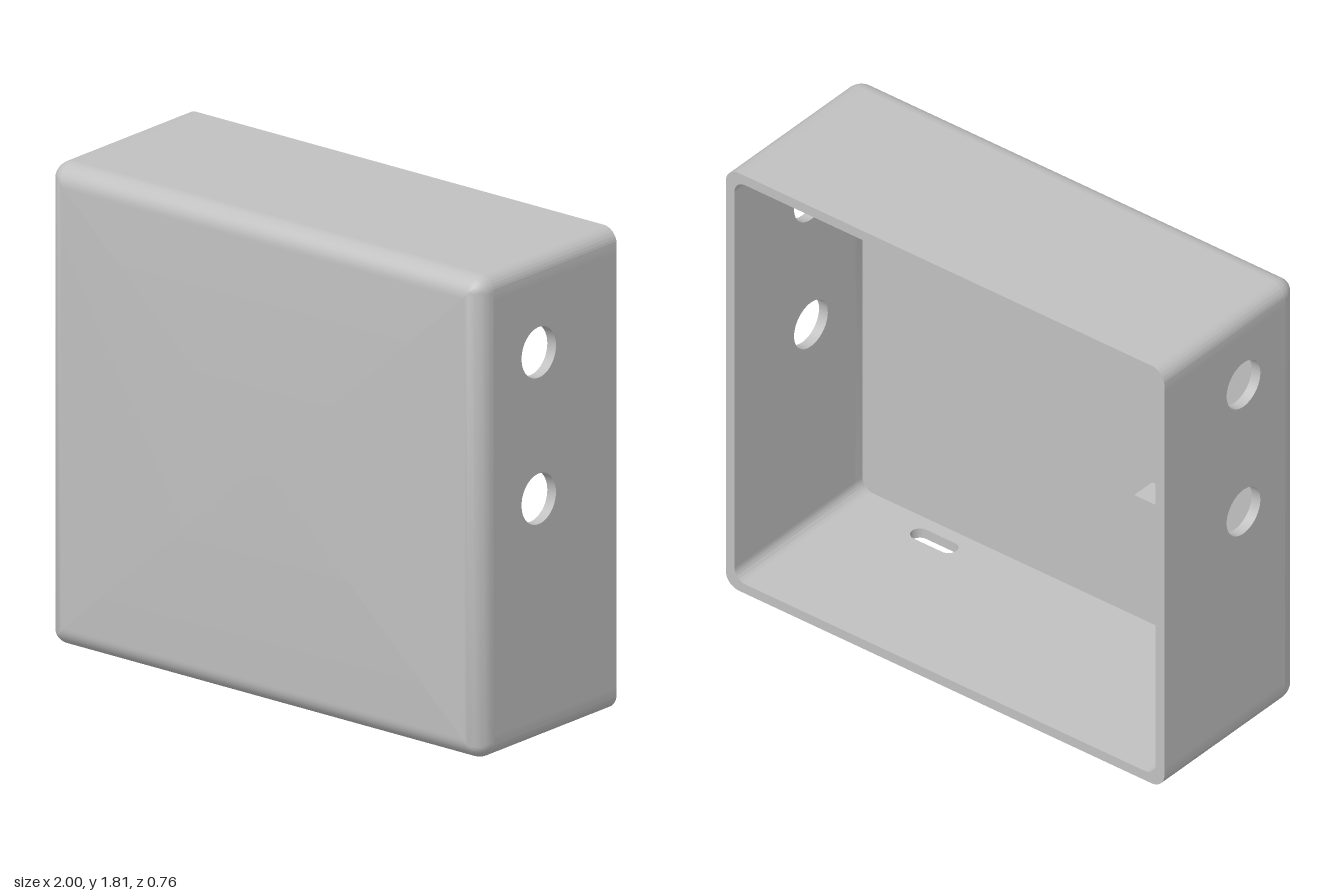
import * as THREE from 'three';
import { toCreasedNormals } from 'three/addons/utils/BufferGeometryUtils.js';

const H = 1.81, T = 0.04;            // height, wall thickness
const BACK = -0.38, SEAM = 0.30, FRONT = 0.38, INNER = 0.34;
const R = 0.06, RI = 0.05, C = T + RI; // outer and inner corner radii, corner strip size
const FILLET = 0.08;

const plastic = new THREE.MeshStandardMaterial({ color: 0xc0c0c0 });
plastic.name = 'grey plastic';

function add(group, name, geometry) {
  const mesh = new THREE.Mesh(geometry, plastic);
  mesh.name = name;
  group.add(mesh);
  return mesh;
}

function rectangle(x0, y0, x1, y1) {
  return new THREE.Shape([[x0, y0], [x1, y0], [x1, y1], [x0, y1]].map(p => new THREE.Vector2(...p)));
}

function extrude(shape, depth) {
  const g = new THREE.ExtrudeGeometry(shape, { depth, bevelEnabled: false, curveSegments: 24 });
  return toCreasedNormals(g, 0.6);
}

// Rounded rectangle outline, counterclockwise around the middle of the front
function outline(inset, radius, z) {
  const pts = [], n = 8;
  [[1, 1], [-1, 1], [-1, -1], [1, -1]].forEach(([sx, sy], k) => {
    for (let i = 0; i <= n; i++) {
      const a = (k + i / n) * Math.PI / 2;
      pts.push([
        sx * (1 - inset - radius) + radius * Math.cos(a),
        H / 2 + sy * (H / 2 - inset - radius) + radius * Math.sin(a), z]);
    }
  });
  return pts;
}

// Front panel: flat inside, filleted outside
function frontPanel() {
  const centre = z => outline(0, 0, z).map(() => [0, H / 2, z]);
  const rows = [centre(INNER), outline(T, RI, INNER), outline(T, RI, SEAM)];
  for (let i = 0; i <= 10; i++) {
    const a = i / 10 * Math.PI / 2, inset = FILLET * (1 - Math.cos(a));
    rows.push(outline(inset, Math.max(R - inset, 0.004), SEAM + FILLET * Math.sin(a)));
  }
  rows.push(centre(FRONT));
  const pos = [], n = rows[0].length, last = rows.length - 2;
  for (let i = 0; i <= last; i++) {
    for (let j = 0; j < n; j++) {
      const k = (j + 1) % n;
      const a = rows[i][j], b = rows[i][k], c = rows[i + 1][j], d = rows[i + 1][k];
      if (i > 0) pos.push(...a, ...b, ...(i === last ? c : d));
      if (i < last) pos.push(...a, ...d, ...c);
    }
  }
  const g = new THREE.BufferGeometry();
  g.setAttribute('position', new THREE.Float32BufferAttribute(pos, 3));
  g.computeVertexNormals();
  return toCreasedNormals(g, 0.6);
}

// Corner strip section, drawn for the upper corner on the +x side
function cornerStrip() {
  const s = new THREE.Shape();
  s.moveTo(0, -C);
  s.lineTo(0, -R);
  s.absarc(-R, -R, R, 0, Math.PI / 2, false);
  s.lineTo(-C, 0);
  s.lineTo(-C, -T);
  s.absarc(-C, -C, RI, Math.PI / 2, 0, true);
  return extrude(s, SEAM - BACK);
}

export function createModel() {
  const model = new THREE.Group();
  model.name = 'openBackBox';

  add(model, 'frontPanel', frontPanel());

  // Side walls, each with two round holes
  for (const side of [1, -1]) {
    const wall = rectangle(BACK, C, SEAM, H - C);
    const [z, ys] = side > 0 ? [0.05, [0.91, 1.46]] : [0.065, [0.96, 1.51]];
    for (const y of ys) wall.holes.push(new THREE.Path().absarc(z, y, 0.095, 0, Math.PI * 2, true));
    const g = extrude(wall, T).rotateY(-Math.PI / 2);
    g.translate(side > 0 ? 1 : -1 + T, 0, 0);
    add(model, side > 0 ? 'leftWall' : 'rightWall', g);
  }

  // Top wall, and bottom wall with a rounded slot
  const span = 1 - C;
  add(model, 'topWall', extrude(rectangle(-span, BACK, span, SEAM), T).rotateX(Math.PI / 2).translate(0, H, 0));
  const floor = rectangle(-span, BACK, span, SEAM);
  const slot = new THREE.Path(), sx = 0.56, sz = 0.25, half = 0.065, sr = 0.035;
  slot.absarc(sx + half, sz, sr, -Math.PI / 2, Math.PI / 2, false);
  slot.absarc(sx - half, sz, sr, Math.PI / 2, Math.PI * 1.5, false);
  slot.closePath();
  floor.holes.push(slot);
  add(model, 'bottomWall', extrude(floor, T).rotateX(Math.PI / 2).translate(0, T, 0));

  // Rounded corner strips, turned a quarter for each corner
  const strip = cornerStrip();
  [[1, H], [-1, H], [-1, 0], [1, 0]].forEach(([x, y], k) => {
    const corner = add(model, 'cornerStrip', strip);
    corner.rotation.z = k * Math.PI / 2;
    corner.position.set(x, y, BACK);
  });

  // Mounting blocks on the inside of the front panel
  for (const y of [0.585, 1.36]) {
    const block = add(model, 'mountingBlock', new THREE.BoxGeometry(0.21, 0.135, 0.11));
    block.position.set(-0.465, y, 0.295);
  }
  return model;
}
